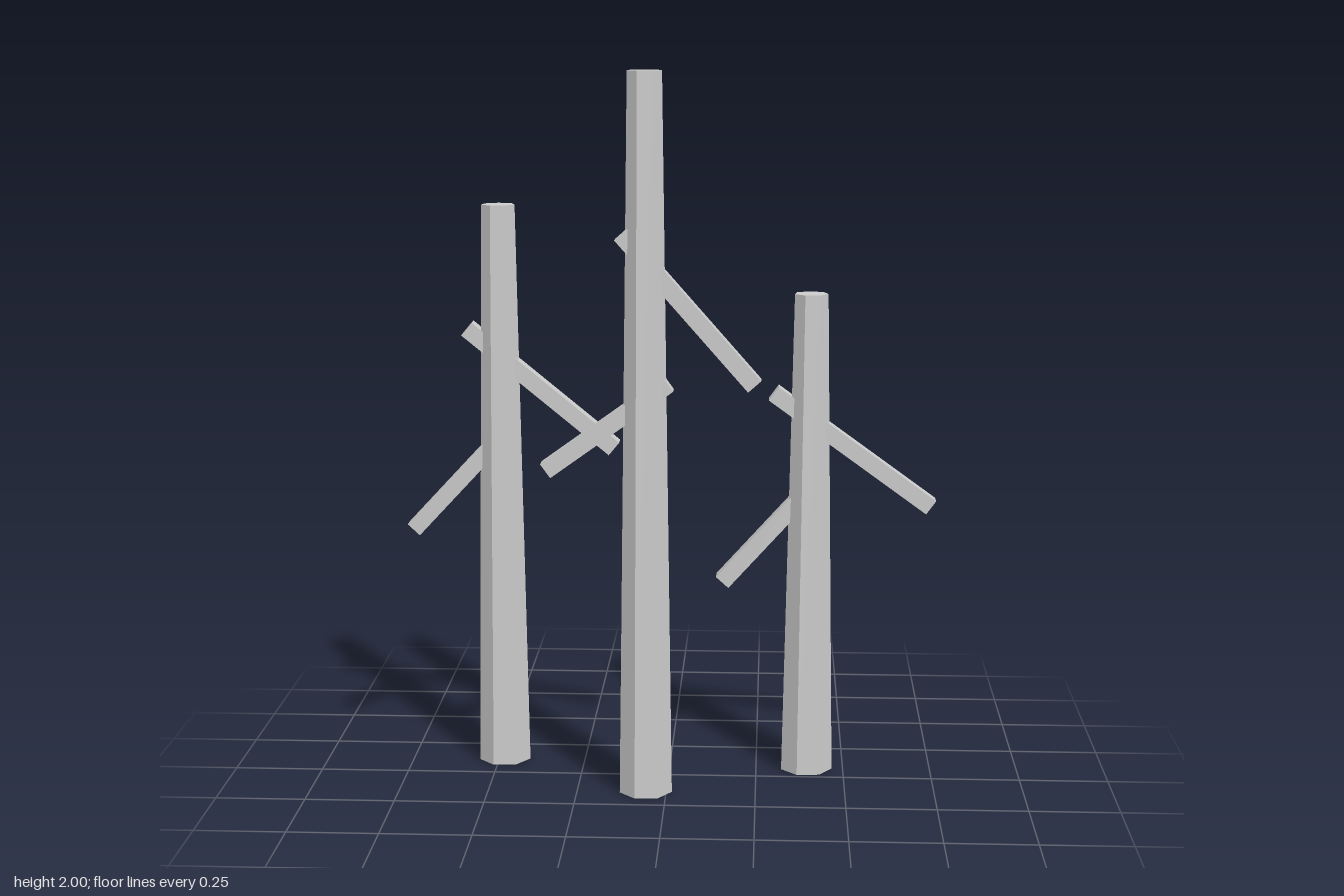
import * as THREE from 'three';

const material = new THREE.MeshStandardMaterial({ color: 0xcccccc, flatShading: true });

// Square beam running between two points in the plane of its trunk
function makeBranch([x0, y0], [x1, y1], z) {
  const dx = x1 - x0, dy = y1 - y0, thickness = 0.047;
  const branch = new THREE.Mesh(
    new THREE.BoxGeometry(Math.hypot(dx, dy), thickness, thickness), material);
  branch.position.set((x0 + x1) / 2, (y0 + y1) / 2, z);
  branch.rotation.z = Math.atan2(dy, dx);
  return branch;
}

// Tapered seven-sided trunk
function makeTrunk(x, z, height) {
  const trunk = new THREE.Mesh(new THREE.CylinderGeometry(0.048, 0.075, height, 7), material);
  trunk.position.set(x, height / 2, z);
  trunk.rotation.y = 0.53;
  trunk.name = 'trunk';
  return trunk;
}

// Each bare tree: trunk placement and the end points of its two branches
const trees = [
  { name: 'rightTree', x: -0.484, z: -0.131, height: 1.62,
    upper: [[-0.576, 1.27], [-0.16, 0.929]], lower: [[-0.737, 0.687], [-0.449, 0.997]] },
  { name: 'middleTree', x: -0.058, z: 0.131, height: 2,
    upper: [[-0.121, 1.566], [0.24, 1.156]], lower: [[-0.33, 0.918], [0.006, 1.16]] },
  { name: 'leftTree', x: 0.394, z: -0.084, height: 1.38,
    upper: [[0.292, 1.1], [0.737, 0.778]], lower: [[0.15, 0.554], [0.425, 0.86]] },
];

export function createModel() {
  const model = new THREE.Group();
  model.name = 'bareTrees';
  for (const { name, x, z, height, upper, lower } of trees) {
    const tree = new THREE.Group();
    tree.name = name;
    const upperBranch = makeBranch(...upper, z);
    upperBranch.name = 'upperBranch';
    const lowerBranch = makeBranch(...lower, z);
    lowerBranch.name = 'lowerBranch';
    tree.add(makeTrunk(x, z, height), upperBranch, lowerBranch);
    model.add(tree);
  }
  return model;
}
